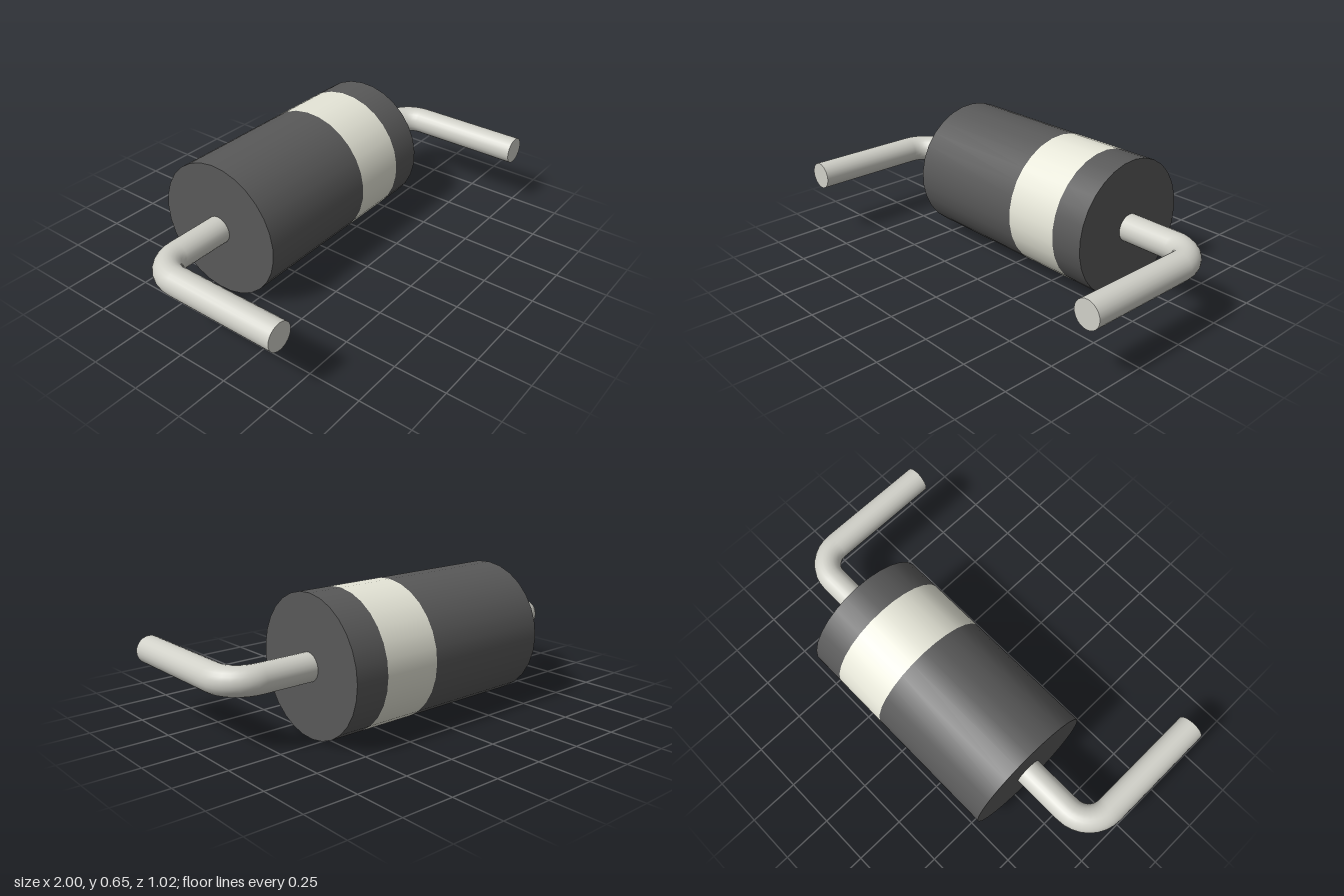
import * as THREE from 'three';

const AXIS_Y = 0.325, AXIS_Z = -0.186; // centre line of the body
const BODY_R = 0.325, LEAD_R = 0.066, BEND_R = 0.134;
const LEAD_X = 0.934, LEAD_END = 0.505;

const dark = new THREE.MeshStandardMaterial({ color: 0x595959 });
const cream = new THREE.MeshStandardMaterial({ color: 0xe6e6d8 });
const metal = new THREE.MeshStandardMaterial({ color: 0xd0d0c8 });

function part(name, geometry, material) {
  const mesh = new THREE.Mesh(geometry, material);
  mesh.name = name;
  return mesh;
}

// cylinder along x between two positions
function barX(x0, x1, radius, sides, open = false) {
  return new THREE.CylinderGeometry(radius, radius, Math.abs(x1 - x0), sides, 1, open, Math.PI)
    .rotateZ(Math.PI / 2)
    .translate((x0 + x1) / 2, AXIS_Y, AXIS_Z);
}

// wire leaving the body end, bending a quarter turn and running forward
function lead(side) {
  const group = new THREE.Group();
  group.name = side > 0 ? 'leftLead' : 'rightLead';
  const bendX = LEAD_X - BEND_R, bendZ = AXIS_Z + BEND_R;

  group.add(part('leadShank', barX(side * 0.53, side * bendX, LEAD_R, 24, true), metal));

  const bend = new THREE.TorusGeometry(BEND_R, LEAD_R, 24, 8, Math.PI / 2);
  if (side < 0) bend.rotateZ(Math.PI / 2);
  bend.rotateX(-Math.PI / 2).translate(side * bendX, AXIS_Y, bendZ);
  group.add(part('leadBend', bend, metal));

  const leg = new THREE.CylinderGeometry(LEAD_R, LEAD_R, LEAD_END - bendZ, 24)
    .rotateX(Math.PI / 2)
    .translate(side * LEAD_X, AXIS_Y, (LEAD_END + bendZ) / 2);
  group.add(part('leadLeg', leg, metal));
  return group;
}

export function createModel() {
  const model = new THREE.Group();
  model.name = 'diode';

  // body with the polarity band set flush between its two dark sections
  model.add(part('bodyLong', barX(-0.55, 0.105, BODY_R, 29), dark));
  model.add(part('polarityBand', barX(0.105, 0.385, BODY_R, 29, true), cream));
  model.add(part('bodyShort', barX(0.385, 0.55, BODY_R, 29), dark));

  for (const side of [-1, 1]) model.add(lead(side));
  return model;
}
